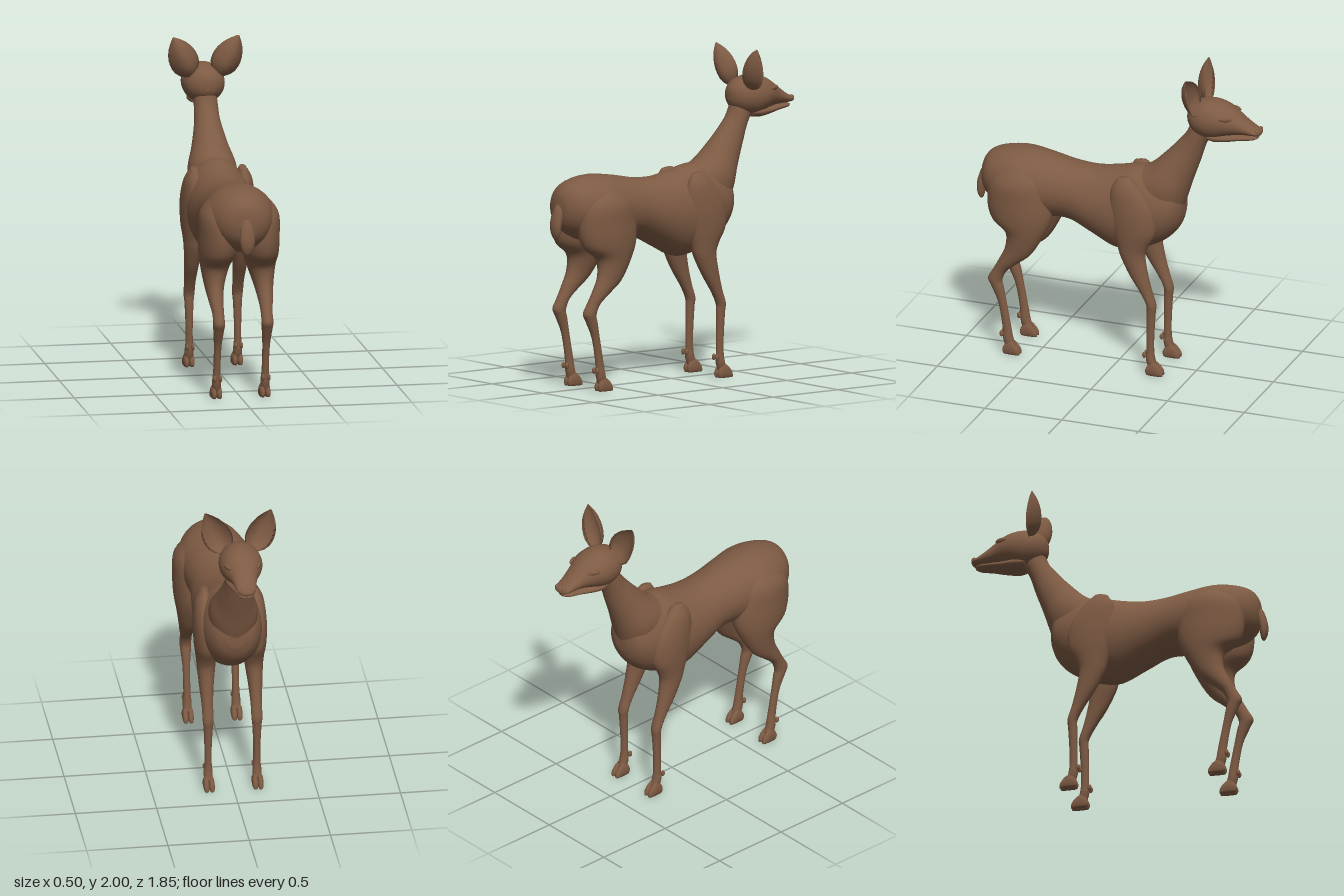
import * as THREE from 'three';

const fur = new THREE.MeshStandardMaterial({ color: 0x7d5a43 });
fur.name = 'brown fur';

// Closed smooth skin over a list of rings (arrays of Vector3 of equal length)
function skin(rings) {
  const n = rings[0].length, pts = rings.flat(), idx = [];
  for (let i = 0; i < rings.length - 1; i++) {
    for (let j = 0; j < n; j++) {
      const a = i * n + j, b = i * n + (j + 1) % n;
      idx.push(a, b, a + n, b, b + n, a + n);
    }
  }
  const last = (rings.length - 1) * n;
  const c0 = pts.length, c1 = c0 + 1;
  for (const ring of [rings[0], rings[rings.length - 1]]) {
    pts.push(ring.reduce((s, p) => s.add(p), new THREE.Vector3()).divideScalar(n));
  }
  for (let j = 0; j < n; j++) {
    const k = (j + 1) % n;
    idx.push(c0, k, j, c1, last + j, last + k);
  }
  // Turn the faces outwards
  let volume = 0;
  const t = new THREE.Vector3();
  for (let i = 0; i < idx.length; i += 3) {
    volume += pts[idx[i]].dot(t.crossVectors(pts[idx[i + 1]], pts[idx[i + 2]]));
  }
  if (volume < 0) idx.reverse();
  const g = new THREE.BufferGeometry().setFromPoints(pts);
  g.setIndex(idx);
  g.computeVertexNormals();
  return g;
}

const spline = (a, b, c, d, t) =>
  b + 0.5 * t * (c - a + t * (2 * a - 5 * b + 4 * c - d + t * (3 * (b - c) + d - a)));

// Loft through elliptical sections [z1, y1, z2, y2, halfWidth, x]
function loft(rows, side = 1, steps = 5, n = 28) {
  const rings = [];
  const at = i => rows[Math.min(Math.max(i, 0), rows.length - 1)];
  for (let i = 0; i < rows.length - 1; i++) {
    for (let s = 0; s < steps + (i === rows.length - 2 ? 1 : 0); s++) {
      const [z1, y1, z2, y2, w, x = 0] = at(i).map((v, k) =>
        spline(at(i - 1)[k], v, at(i + 1)[k], at(i + 2)[k], s / steps));
      rings.push(Array.from({ length: n }, (_, j) => {
        const a = j / n * Math.PI * 2, c = Math.cos(a) / 2;
        return new THREE.Vector3(side * x + w * Math.sin(a),
          Math.max(0, (y1 + y2) / 2 + c * (y1 - y2)), (z1 + z2) / 2 + c * (z1 - z2));
      }));
    }
  }
  return skin(rings);
}

// Upright sections [z, top, bottom, halfWidth, x]
const upright = rows => rows.map(([z, t, b, w, x = 0]) => [z, t, z, b, w, x]);

const TORSO = upright([
  [0.885, 1.15, 1.11, 0.02], [0.87, 1.22, 1.03, 0.085], [0.82, 1.275, 0.97, 0.15],
  [0.72, 1.307, 0.92, 0.2], [0.6, 1.315, 0.9, 0.222], [0.45, 1.295, 0.9, 0.2],
  [0.3, 1.267, 0.9, 0.185], [0.15, 1.26, 0.83, 0.195], [0, 1.285, 0.757, 0.205],
  [-0.12, 1.315, 0.765, 0.2], [-0.22, 1.31, 0.8, 0.19], [-0.32, 1.27, 0.86, 0.165],
  [-0.39, 1.22, 0.94, 0.12], [-0.42, 1.13, 1.02, 0.05]]);

const NECK = [
  [0, 1.27, -0.36, 0.91, 0.14], [-0.18, 1.322, -0.43, 1.12, 0.15],
  [-0.3, 1.425, -0.475, 1.26, 0.112], [-0.4, 1.535, -0.525, 1.4, 0.082],
  [-0.45, 1.605, -0.565, 1.52, 0.074], [-0.48, 1.7, -0.62, 1.61, 0.07]];

const HEAD = upright([
  [-0.448, 1.73, 1.67, 0.02], [-0.465, 1.765, 1.635, 0.065], [-0.51, 1.8, 1.595, 0.11],
  [-0.58, 1.82, 1.57, 0.13], [-0.65, 1.815, 1.58, 0.13], [-0.71, 1.795, 1.6, 0.113],
  [-0.77, 1.757, 1.613, 0.085], [-0.83, 1.712, 1.62, 0.068], [-0.885, 1.675, 1.623, 0.058],
  [-0.915, 1.665, 1.628, 0.045], [-0.925, 1.652, 1.638, 0.018]]);

const JAW = upright([
  [-0.58, 1.62, 1.567, 0.08], [-0.64, 1.63, 1.555, 0.095], [-0.72, 1.625, 1.565, 0.08],
  [-0.8, 1.625, 1.582, 0.062], [-0.87, 1.625, 1.592, 0.048], [-0.9, 1.618, 1.602, 0.022]]);

const TAIL = [
  [0.86, 1.18, 0.83, 1.1, 0.025], [0.9, 1.13, 0.855, 1.08, 0.04],
  [0.925, 1.05, 0.872, 1.03, 0.046], [0.926, 0.99, 0.88, 0.98, 0.04],
  [0.914, 0.95, 0.888, 0.945, 0.024], [0.904, 0.934, 0.898, 0.934, 0.006]];

const HIND_LEG = [
  [0.68, 1.25, 0.54, 1.25, 0.03, 0.13], [0.79, 1.14, 0.44, 1.16, 0.11, 0.128],
  [0.81, 1.0, 0.4, 1.04, 0.12, 0.128], [0.78, 0.885, 0.4, 0.91, 0.113, 0.132],
  [0.69, 0.81, 0.45, 0.79, 0.087, 0.143], [0.687, 0.71, 0.525, 0.67, 0.06, 0.152],
  [0.73, 0.615, 0.61, 0.6, 0.045, 0.153], [0.768, 0.545, 0.68, 0.54, 0.036, 0.15],
  [0.8, 0.485, 0.71, 0.475, 0.036, 0.15], [0.78, 0.435, 0.7, 0.425, 0.032, 0.15],
  [0.735, 0.33, 0.68, 0.32, 0.023, 0.15], [0.708, 0.18, 0.652, 0.175, 0.022, 0.15],
  [0.703, 0.1, 0.64, 0.105, 0.028, 0.15], [0.69, 0.05, 0.625, 0.06, 0.025, 0.15]];

const FRONT_LEG = [
  [-0.04, 1.27, -0.12, 1.28, 0.02, 0.15], [0, 1.19, -0.19, 1.21, 0.055, 0.155],
  [0.01, 1.06, -0.28, 1.08, 0.07, 0.155], [-0.01, 0.93, -0.29, 0.94, 0.072, 0.15],
  [-0.04, 0.83, -0.24, 0.84, 0.063, 0.147], [-0.062, 0.76, -0.22, 0.77, 0.056, 0.147],
  [-0.117, 0.65, -0.24, 0.65, 0.044, 0.15], [-0.185, 0.545, -0.268, 0.54, 0.035, 0.15],
  [-0.23, 0.46, -0.292, 0.46, 0.034, 0.15], [-0.232, 0.4, -0.288, 0.4, 0.028, 0.15],
  [-0.23, 0.25, -0.28, 0.25, 0.022, 0.15], [-0.23, 0.15, -0.28, 0.15, 0.023, 0.15],
  [-0.228, 0.1, -0.287, 0.1, 0.028, 0.15], [-0.24, 0.05, -0.3, 0.06, 0.025, 0.15]];

// Cupped leaf-shaped ear, hollow towards the face
function ear(side) {
  const widths = [0.03, 0.066, 0.084, 0.09, 0.09, 0.085, 0.074, 0.058, 0.034, 0.004];
  const m = 12;
  return skin(widths.map((w, i) => {
    const u = i / (widths.length - 1);
    const rim = -0.545 + 0.04 * u * u;
    return Array.from({ length: 2 * m }, (_, j) => {
      const back = j <= m;
      const s = back ? -1 + 2 * j / m : 1 - 2 * (j - m) / m;
      const depth = w * (back ? 0.85 : 0.6) * (1 - s * s);
      return new THREE.Vector3(side * (0.085 + 0.118 * u + 0.9 * w * s),
        1.75 + 0.25 * u - 0.43 * w * s, rim + depth);
    });
  }));
}

export function createModel() {
  const model = new THREE.Group();
  model.name = 'deer';
  const add = (name, geometry) => {
    const mesh = new THREE.Mesh(geometry, fur);
    mesh.name = name;
    model.add(mesh);
    return mesh;
  };
  const blob = (name, x, y, z, rx, ry, rz) => {
    const mesh = add(name, new THREE.SphereGeometry(1, 20, 14));
    mesh.position.set(x, y, z);
    mesh.scale.set(rx, ry, rz);
    return mesh;
  };

  add('torso', loft(TORSO, 1, 5, 40));
  add('neck', loft(NECK, 1, 6, 36));
  add('head', loft(HEAD, 1, 5, 36));
  add('lowerJaw', loft(JAW));
  add('tail', loft(TAIL));
  blob('nose', 0, 1.65, -0.905, 0.04, 0.018, 0.02);

  for (const side of [1, -1]) {
    const label = side > 0 ? 'left' : 'right';
    add(label + 'Ear', ear(side));
    blob(label + 'Nostril', side * 0.03, 1.655, -0.905, 0.018, 0.016, 0.016);
    // Narrow eyelid set into the cheek
    blob(label + 'Eyelid', side * 0.098, 1.738, -0.722, 0.012, 0.016, 0.04)
      .rotation.y = side * 0.4;
    add(label + 'HindLeg', loft(HIND_LEG, side));
    add(label + 'FrontLeg', loft(FRONT_LEG, side));

    // Cloven hooves and dewclaws, placed by the heel position of each leg
    for (const [leg, heel] of [['Hind', 0.7], ['Front', -0.23]]) {
      for (const d of [-0.0165, 0.0165]) {
        const x = 0.15 + d;
        add(label + leg + 'Hoof', loft(upright([
          [heel, 0.035, 0.012, 0.008, x], [heel - 0.012, 0.06, -0.006, 0.015, x],
          [heel - 0.045, 0.085, -0.012, 0.018, x], [heel - 0.075, 0.07, -0.012, 0.018, x],
          [heel - 0.1, 0.04, -0.008, 0.014, x], [heel - 0.108, 0.02, 0, 0.006, x]]), side, 4, 18));
        blob(label + leg + 'Dewclaw', side * (0.15 + d * 1.05), 0.128, heel + 0.008,
          0.011, 0.02, 0.013);
      }
    }
  }
  return model;
}
